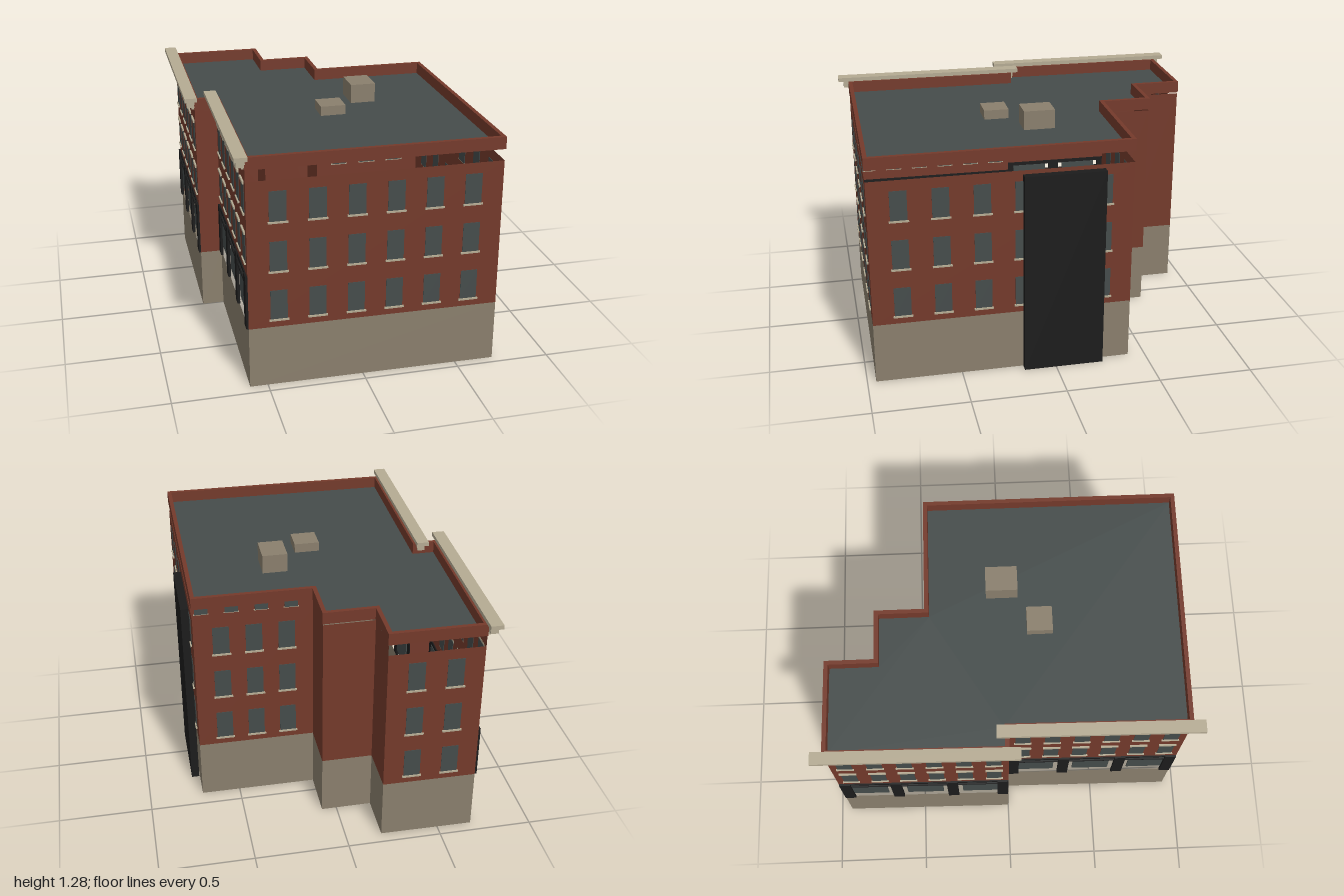
import * as THREE from 'three';

const material = (name, color, side = THREE.FrontSide) => {
  const m = new THREE.MeshStandardMaterial({ color, side });
  m.name = name;
  return m;
};

// Footprint corners [x, z], running so that each wall's outside is on its right
const FOOTPRINT = [
  [-0.592, 0.94], [0.708, 0.954], [0.708, -0.41], [0.08, -0.412], [0.08, -0.677],
  [-0.191, -0.677], [-0.191, -0.935], [-0.686, -0.94], [-0.698, 0], [-0.58, 0],
];
const BASE_TOP = 0.33, SHOP_TOP = 0.62, LOW_TOP = 1.12, HIGH_TOP = 1.173, ROOF = 1.18;

// Move every edge of the outline inwards by d (negative = outwards)
function inset(points, d) {
  const n = points.length;
  return points.map((p, i) => {
    const a = points[(i + n - 1) % n], b = points[(i + 1) % n];
    const l1 = Math.hypot(p[0] - a[0], p[1] - a[1]), l2 = Math.hypot(b[0] - p[0], b[1] - p[1]);
    const u = [(p[0] - a[0]) / l1, (p[1] - a[1]) / l1];
    const v = [(b[0] - p[0]) / l2, (b[1] - p[1]) / l2];
    const n1 = [u[1], -u[0]], n2 = [v[1], -v[0]];
    const k = d / (1 + n1[0] * n2[0] + n1[1] * n2[1]);
    return [p[0] + (n1[0] + n2[0]) * k, p[1] + (n1[1] + n2[1]) * k];
  });
}
const toVectors = (points) => points.map(([x, z]) => new THREE.Vector2(x, -z));

export function createModel() {
  const brick = material('brick', 0x743a2b, THREE.DoubleSide);
  const stone = material('base stone', 0x8a7f6d, THREE.DoubleSide);
  const slate = material('slate and glass', 0x454c4b, THREE.DoubleSide);
  const black = material('black metal', 0x1c1c1c);
  const trim = material('cornice stone', 0xb5ab93);
  const model = new THREE.Group();
  model.name = 'cornerBuilding';

  function box(parent, name, mat, w, h, d, x, y, z) {
    const mesh = new THREE.Mesh(new THREE.BoxGeometry(w, h, d), mat);
    mesh.name = name;
    mesh.position.set(x, y, z);
    parent.add(mesh);
  }

  // Group whose x axis runs along a wall and whose z axis points outside
  function wallFrame(name, i) {
    const p = FOOTPRINT[i], q = FOOTPRINT[(i + 1) % FOOTPRINT.length];
    const g = new THREE.Group();
    g.name = name;
    g.position.set(p[0], 0, p[1]);
    g.rotation.y = Math.atan2(p[1] - q[1], q[0] - p[0]);
    g.userData.length = Math.hypot(q[0] - p[0], q[1] - p[1]);
    model.add(g);
    return g;
  }

  function panel(g, name, mat, y0, y1) {
    const L = g.userData.length;
    const mesh = new THREE.Mesh(new THREE.PlaneGeometry(L, y1 - y0), mat);
    mesh.name = name;
    mesh.position.set(L / 2, (y0 + y1) / 2, 0);
    g.add(mesh);
  }

  function sashWindow(g, x, y, w, h, lintel) {
    box(g, 'windowPane', slate, w, h, 0.005, x, y + h / 2, 0);
    box(g, 'windowSill', trim, w + 0.014, 0.009, 0.01, x, y, 0.004);
    if (lintel) box(g, 'windowLintel', trim, w + 0.014, 0.014, 0.01, x, y + h + 0.005, 0.004);
  }

  // Shop bays, two upper floors and a heavy cornice
  function streetFacade(g) {
    const L = g.userData.length, bays = 3, step = L / bays;
    panel(g, 'upperBrick', brick, SHOP_TOP, ROOF);
    for (let i = 0; i <= bays; i++) {
      const x = THREE.MathUtils.clamp(i * step, 0.032, L - 0.032);
      box(g, 'shopPier', black, 0.06, SHOP_TOP - BASE_TOP, 0.014, x, (SHOP_TOP + BASE_TOP) / 2, 0.004);
    }
    for (let i = 0; i < bays; i++) {
      const x = (i + 0.5) * step;
      box(g, 'shopGlass', slate, step - 0.11, 0.21, 0.008, x, 0.495, -0.005);
      box(g, 'shopTransom', black, step - 0.06, 0.012, 0.012, x, 0.56, 0);
      box(g, 'shopHeader', black, step - 0.06, 0.02, 0.012, x, 0.61, 0);
    }
    for (let i = 0; i < 6; i++)
      for (const y of [0.677, 0.94]) sashWindow(g, (i + 0.5) * L / 6, y, 0.08, 0.16, true);

    box(g, 'corniceTop', trim, L + 0.12, 0.022, 0.066, L / 2, 1.255, 0.026);
    box(g, 'corniceBand', trim, L + 0.06, 0.024, 0.032, L / 2, 1.232, 0.018);
    box(g, 'corniceFoot', trim, L, 0.02, 0.016, L / 2, 1.196, 0.008);
    const teeth = 26;
    for (let i = 0; i < teeth; i++)
      box(g, 'corniceDentil', trim, 0.018, 0.02, 0.028, (i + 0.5) * L / teeth, 1.212, 0.022);
    for (const x of [-0.015, L + 0.015])
      box(g, 'corniceEndBracket', trim, 0.03, 0.04, 0.04, x, 1.225, 0.025);
  }

  // Walls: windows are given as distances along the wall
  const spread = (first, step, count) => Array.from({ length: count }, (_, i) => first + i * step);
  const walls = [
    ['frontWall', LOW_TOP, spread(0.155, 0.198, 6)],
    ['rightWall', LOW_TOP, spread(0.157, 0.21, 6)],
    ['backWall', LOW_TOP, spread(0.143, 0.173, 3)],
    ['notchSideA', HIGH_TOP, []],
    ['notchBack', HIGH_TOP, []],
    ['notchSideB', HIGH_TOP, []],
    ['rearWingWall', LOW_TOP, spread(0.149, 0.2, 2)],
    ['rearStreetFacade', 0, []],
    ['facadeStep', HIGH_TOP, []],
    ['frontStreetFacade', 0, []],
  ];
  walls.forEach(([name, top, windows], i) => {
    const g = wallFrame(name, i);
    panel(g, 'stoneBase', stone, 0, BASE_TOP);
    if (!top) return streetFacade(g);
    panel(g, 'brickWall', brick, BASE_TOP, top);
    for (const x of windows)
      for (const y of [0.37, 0.635, 0.9]) sashWindow(g, x, y, 0.087, 0.163, false);
  });

  // Roof deck and the parapet around it
  const inner = toVectors(inset(FOOTPRINT, 0.019)), outer = toVectors(inset(FOOTPRINT, -0.003));
  const deck = new THREE.Mesh(new THREE.ShapeGeometry(new THREE.Shape(inner)).rotateX(-Math.PI / 2), slate);
  deck.name = 'roofDeck';
  deck.position.y = ROOF + 0.002;
  const ring = new THREE.Shape(outer);
  ring.holes.push(new THREE.Path(inner));
  const parapet = new THREE.Mesh(
    new THREE.ExtrudeGeometry(ring, { depth: 0.064, bevelEnabled: false }).rotateX(-Math.PI / 2), brick);
  parapet.name = 'parapet';
  parapet.position.y = ROOF;
  model.add(deck, parapet);

  // Rooftop units and the tall shaft on the right wall
  box(model, 'rooftopUnitTall', stone, 0.136, 0.112, 0.168, 0.223, 1.229, -0.005);
  box(model, 'rooftopUnitLow', stone, 0.136, 0.06, 0.135, 0.01, 1.203, 0.188);
  box(model, 'sideShaft', black, 0.042, 1.1, 0.425, 0.733, 0.55, -0.042);
  return model;
}
